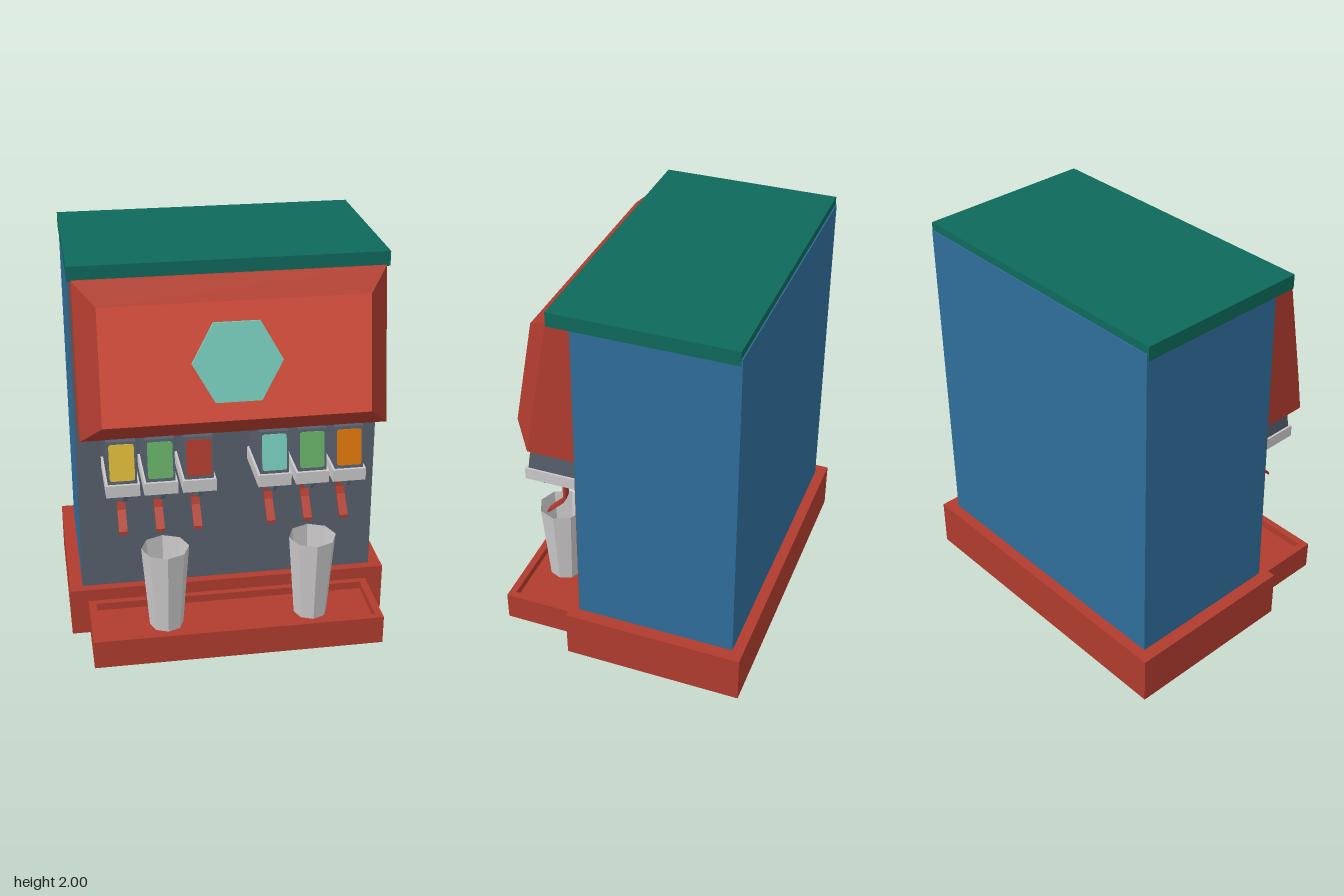
import * as THREE from 'three';

const mat = (name, color, side = THREE.FrontSide) => {
  const m = new THREE.MeshStandardMaterial({ color, side });
  m.name = name;
  return m;
};

export function createModel() {
  const red = mat('brick red', 0xb03c2e);
  const brightRed = mat('bright red', 0xdc503e);
  const blue = mat('blue', 0x2f6d9b);
  const slate = mat('slate grey', 0x565f6c);
  const pale = mat('pale grey', 0xcac8c9, THREE.DoubleSide);
  const aqua = mat('aqua', 0x78ccbc);
  const green = mat('green', 0x67b066);
  const yellow = mat('yellow', 0xdcba36);
  const orange = mat('orange', 0xdc760c);
  const teal = mat('dark teal', 0x0f695c);

  const model = new THREE.Group();
  model.name = 'drinkDispenser';

  const add = (parent, name, geometry, material, x = 0, y = 0, z = 0) => {
    const mesh = new THREE.Mesh(geometry, material);
    mesh.name = name;
    mesh.position.set(x, y, z);
    parent.add(mesh);
    return mesh;
  };
  // Box given by its limits
  const box = (parent, name, material, [x0, x1], [y0, y1], [z0, z1]) =>
    add(parent, name, new THREE.BoxGeometry(x1 - x0, y1 - y0, z1 - z0), material,
      (x0 + x1) / 2, (y0 + y1) / 2, (z0 + z1) / 2);
  // Side profile of [z, y] points, swept across the width
  const prism = (points, width) => {
    const shape = new THREE.Shape(points.map(([z, y]) => new THREE.Vector2(z, y)));
    const g = new THREE.ExtrudeGeometry(shape, { depth: width, bevelEnabled: false });
    return g.rotateY(-Math.PI / 2).translate(width / 2, 0, 0);
  };
  // Flat-shaded quads from lists of four corners
  const quads = (list) => {
    const pos = list.flatMap(([a, b, c, d]) => [a, b, c, a, c, d].flat());
    const g = new THREE.BufferGeometry();
    g.setAttribute('position', new THREE.Float32BufferAttribute(pos, 3));
    g.computeVertexNormals();
    return g;
  };

  // Base, cabinet and lid
  box(model, 'base', red, [-0.82, 0.82], [0, 0.255], [-0.65, 0.272]);
  add(model, 'cabinet', prism([[-0.594, 0.24], [0.221, 0.24], [0.196, 1.96], [-0.594, 1.96]], 1.51), blue);
  add(model, 'cabinetFront', prism([[0.22, 0.25], [0.226, 0.25], [0.2, 1.93], [0.194, 1.93]], 1.51), slate);
  box(model, 'lid', teal, [-0.76, 0.76], [1.928, 2], [-0.588, 0.31]);

  // Drip tray with a sunken floor
  const rect = (s, x, z0, z1) =>
    s.moveTo(-x, -z1).lineTo(x, -z1).lineTo(x, -z0).lineTo(-x, -z0).closePath();
  const rim = rect(new THREE.Shape(), 0.73, 0.268, 0.65);
  rim.holes.push(rect(new THREE.Path(), 0.693, 0.305, 0.614));
  const rimGeometry = new THREE.ExtrudeGeometry(rim, { depth: 0.15, bevelEnabled: false });
  add(model, 'trayRim', rimGeometry.rotateX(-Math.PI / 2), red, 0, 0.04, 0);
  box(model, 'trayFloor', red, [-0.7, 0.7], [0.041, 0.15], [0.3, 0.62]);

  // Sloping hood: three rectangular rings joined together
  const ring = (x, yBottom, zBottom, yTop, zTop) =>
    [[-x, yBottom, zBottom], [x, yBottom, zBottom], [x, yTop, zTop], [-x, yTop, zTop]];
  const rings = [
    ring(0.74, 1.19, 0.19, 1.928, 0.19),
    ring(0.74, 1.19, 0.46, 1.935, 0.32),
    ring(0.64, 1.29, 0.55, 1.845, 0.445),
  ];
  const sides = [[...rings[0]].reverse()];
  for (let r = 0; r < 2; r++) {
    for (let i = 0; i < 4; i++) {
      const j = (i + 1) % 4;
      sides.push([rings[r][i], rings[r][j], rings[r + 1][j], rings[r + 1][i]]);
    }
  }
  add(model, 'hood', quads(sides), red);
  add(model, 'hoodFace', quads([rings[2]]), brightRed);

  // Hexagonal badge lying on the hood face
  const hexagon = new THREE.Shape();
  [[-0.215, 0], [-0.11, -0.188], [0.11, -0.188], [0.215, 0], [0.11, 0.188], [-0.11, 0.188]]
    .forEach(([x, y], i) => (i ? hexagon.lineTo(x, y) : hexagon.moveTo(x, y)));
  const badge = add(model, 'badge',
    new THREE.ExtrudeGeometry(hexagon, { depth: 0.02, bevelEnabled: false }), aqua, 0, 1.567, 0.497);
  badge.rotation.x = -Math.atan2(0.105, 0.555);

  // Shared dispenser geometries
  const headGeometry = prism([[0.2, 0.98], [0.526, 0.98], [0.49, 1.192], [0.2, 1.192]], 0.14);
  const leverGeometry = prism([[0.357, 0.93], [0.357, 0.805], [0.372, 0.765], [0.452, 0.685],
    [0.464, 0.676], [0.464, 0.692], [0.386, 0.772], [0.371, 0.808], [0.371, 0.93]], 0.042);
  const label = new THREE.Shape();
  const w = 0.06, h = 0.09, c = 0.014;
  label.moveTo(-w + c, -h).lineTo(w - c, -h).quadraticCurveTo(w, -h, w, -h + c)
    .lineTo(w, h - c).quadraticCurveTo(w, h, w - c, h)
    .lineTo(-w + c, h).quadraticCurveTo(-w, h, -w, h - c)
    .lineTo(-w, -h + c).quadraticCurveTo(-w, -h, -w + c, -h);
  const labelGeometry = new THREE.ExtrudeGeometry(label,
    { depth: 0.006, bevelEnabled: false, curveSegments: 3 });
  const flangeGeometry = new THREE.CylinderGeometry(0.046, 0.046, 0.03, 8).toNonIndexed();
  const nozzleGeometry = new THREE.CylinderGeometry(0.03, 0.026, 0.06, 8).toNonIndexed();
  flangeGeometry.computeVertexNormals();
  nozzleGeometry.computeVertexNormals();

  // Six dispensers
  const taps = [[-0.552, yellow], [-0.37, green], [-0.185, red],
    [0.18, aqua], [0.365, green], [0.547, orange]];
  for (const [x, colour] of taps) {
    const tap = new THREE.Group();
    tap.name = 'dispenser';
    tap.position.x = x;
    model.add(tap);
    add(tap, 'head', headGeometry, slate);
    add(tap, 'flavourLabel', labelGeometry, colour, 0, 1.09, 0.507)
      .rotation.x = -Math.atan2(0.036, 0.212);
    box(tap, 'ledge', pale, [-0.081, 0.081], [0.923, 0.985], [0.2, 0.54]);
    add(tap, 'nozzleFlange', flangeGeometry, slate, 0, 0.91, 0.465);
    add(tap, 'nozzle', nozzleGeometry, slate, 0, 0.9, 0.465);
    add(tap, 'lever', leverGeometry, red);
  }

  // Open eight-sided cups standing in the tray
  const cupGeometry = new THREE.CylinderGeometry(0.119, 0.085, 0.44, 8, 1, true).toNonIndexed();
  cupGeometry.computeVertexNormals();
  const cupBase = new THREE.CircleGeometry(0.085, 8).rotateX(-Math.PI / 2);
  for (const x of [-0.35, 0.39]) {
    const cup = new THREE.Group();
    cup.name = 'cup';
    cup.position.set(x, 0.15, 0.467);
    model.add(cup);
    add(cup, 'cupWall', cupGeometry, pale, 0, 0.22, 0);
    add(cup, 'cupBottom', cupBase, pale, 0, 0.006, 0);
  }

  return model;
}
